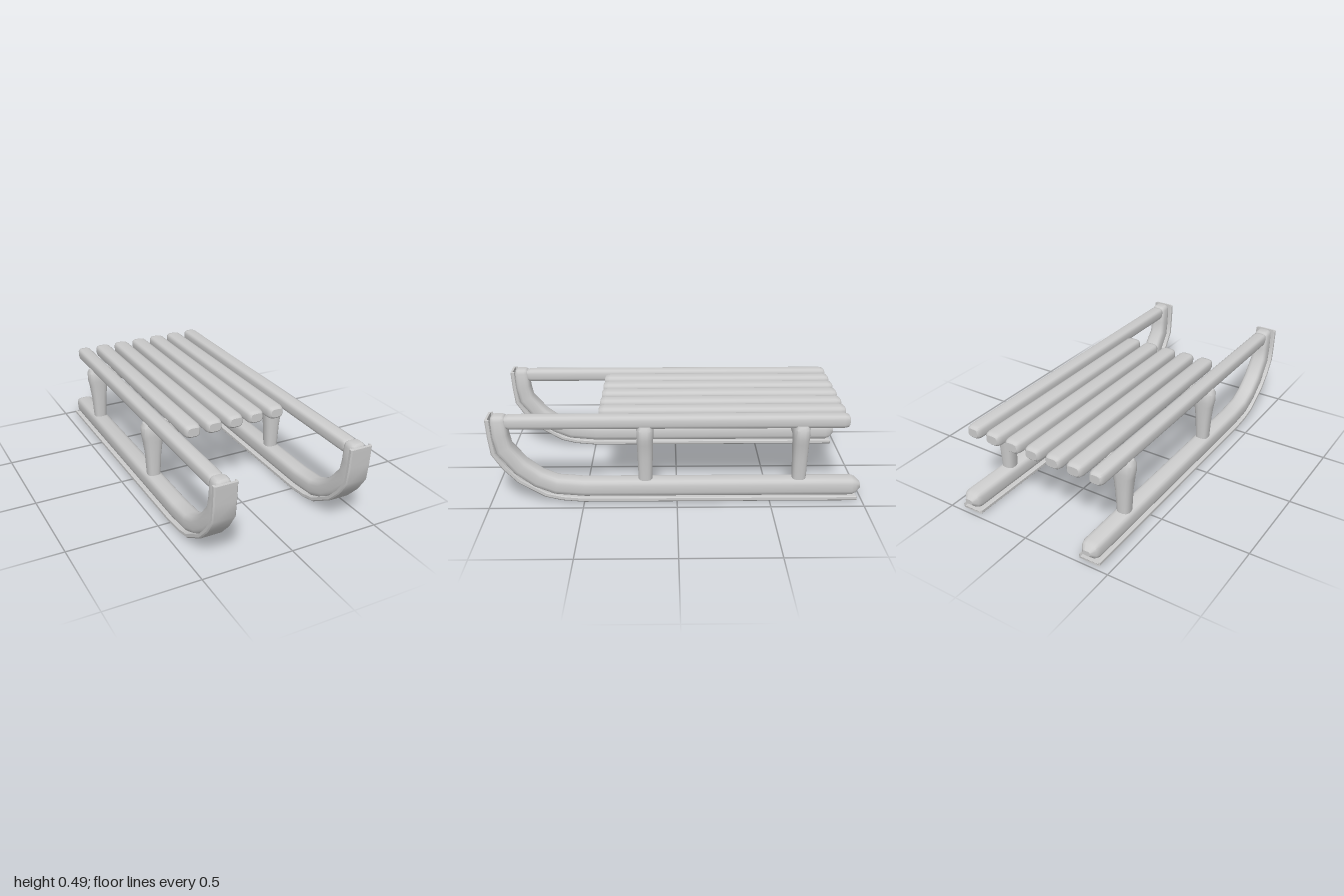
import * as THREE from 'three';
import { toCreasedNormals } from 'three/addons/utils/BufferGeometryUtils.js';

const wood = new THREE.MeshStandardMaterial({ color: 0xcccccc });
const X = new THREE.Vector3(1, 0, 0);
const Z = new THREE.Vector3(0, 0, 1);

// Rounded-rectangle unit section
function roundSection(n = 16, power = 0.55) {
  const pts = [];
  for (let i = 0; i < n; i++) {
    const a = ((i + 0.5) / n) * Math.PI * 2;
    const f = (c) => Math.sign(c) * Math.abs(c) ** power;
    pts.push([f(Math.cos(a)), f(Math.sin(a))]);
  }
  return pts;
}

// Sweeps a section along stations [x, y, z, halfU, halfV]; u is fixed, v follows the path.
// bow(station, u) slides points along the path to shape the ends.
function sweep(stations, u, section, crease = 0.7, bow = () => 0) {
  const centres = stations.map((s) => new THREE.Vector3(s[0], s[1], s[2]));
  const last = stations.length - 1;
  const n = section.length;
  const pos = [];
  const index = [];
  stations.forEach((s, i) => {
    const t = centres[Math.min(i + 1, last)].clone().sub(centres[Math.max(i - 1, 0)]).normalize();
    const v = t.clone().cross(u);
    for (const [a, b] of section) {
      const p = centres[i].clone().addScaledVector(u, a * s[3])
        .addScaledVector(v, b * s[4]).addScaledVector(t, bow(i, a));
      pos.push(p.x, p.y, p.z);
    }
  });
  for (let i = 0; i < last; i++) {
    for (let j = 0; j < n; j++) {
      const k = (j + 1) % n;
      const a = i * n + j, b = i * n + k, c = a + n, d = b + n;
      index.push(a, b, d, a, d, c);
    }
  }
  // End caps
  const flat = THREE.ShapeUtils.triangulateShape(section.map((p) => new THREE.Vector2(...p)), []);
  for (const [a, b, c] of flat) {
    index.push(a, c, b, a + last * n, b + last * n, c + last * n);
  }
  const geo = new THREE.BufferGeometry();
  geo.setAttribute('position', new THREE.Float32BufferAttribute(pos, 3));
  geo.setIndex(index);
  return toCreasedNormals(geo, crease);
}

function add(parent, name, geo) {
  const mesh = new THREE.Mesh(geo, wood);
  mesh.name = name;
  parent.add(mesh);
  return mesh;
}

// Straight slat along z with softly tapered ends
function slat(x, z0, z1, half) {
  const y = 0.451, h = 0.036;
  return sweep([
    [x, y, z0, half * 0.72, h * 0.65],
    [x, y, z0 + 0.008, half * 0.88, h * 0.88],
    [x, y, z0 + 0.03, half, h],
    [x, y, z1 - 0.03, half, h],
    [x, y, z1 - 0.008, half * 0.88, h * 0.88],
    [x, y, z1, half * 0.72, h * 0.65],
  ], X, roundSection());
}

export function createModel() {
  const group = new THREE.Group();
  group.name = 'sled';

  // Seat slats
  for (let i = -2; i <= 2; i++) add(group, 'seatSlat', slat(i * 0.125, -0.91, 0.42, 0.046));

  // Shallow channel section of the metal shoe, open towards the runner
  const channel = [
    [-1, 0.007], [-0.9, 0], [0.9, 0], [1, 0.007],
    [1, 0.022], [0.88, 0.025], [0.82, 0.013], [-0.82, 0.013], [-0.88, 0.025], [-1, 0.022],
  ];

  for (const side of [-1, 1]) {
    const x = side * 0.375;
    const half = new THREE.Group();
    half.name = side > 0 ? 'leftSide' : 'rightSide';
    group.add(half);

    add(half, 'sideRail', slat(x, -0.91, 0.91, 0.04));

    // Wooden runner, curling up at the front
    add(half, 'runner', sweep([
      [x, 0.073, -0.995, 0.022, 0.014],
      [x, 0.073, -0.97, 0.044, 0.038],
      [x, 0.072, -0.945, 0.05, 0.048],
      [x, 0.072, 0.5, 0.05, 0.048],
      [x, 0.085, 0.65, 0.05, 0.048],
      [x, 0.125, 0.745, 0.05, 0.048],
      [x, 0.195, 0.835, 0.05, 0.048],
      [x, 0.3, 0.917, 0.048, 0.046],
      [x, 0.38, 0.932, 0.046, 0.044],
      [x, 0.465, 0.936, 0.045, 0.042],
      [x, 0.482, 0.936, 0.039, 0.037],
      [x, 0.49, 0.936, 0.028, 0.026],
    ], X, roundSection()));

    // Metal shoe under the runner, with pointed ends
    const shoe = [
      [x, 0.003, -0.995], [x, 0.003, 0.5], [x, 0.014, 0.62], [x, 0.036, 0.71],
      [x, 0.12, 0.85], [x, 0.2, 0.925], [x, 0.285, 0.98], [x, 0.38, 0.991], [x, 0.493, 0.998],
    ].map((p) => [...p, 0.063, 1]);
    const end = shoe.length - 1;
    add(half, 'runnerShoe', sweep(shoe, X, channel, 0.6, (i, a) =>
      i === 0 ? 0.024 * Math.abs(a) : i === end ? -0.012 * Math.abs(a) : 0));

    // Tapered legs
    for (const z of [0.17, -0.66]) {
      add(half, 'leg', sweep([
        [x, 0.09, z, 0.034, 0.037],
        [x, 0.24, z, 0.043, 0.041],
        [x, 0.33, z, 0.055, 0.044],
        [x, 0.36, z, 0.062, 0.045],
        [x, 0.41, z, 0.062, 0.045],
        [x, 0.43, z, 0.05, 0.036],
      ], X, roundSection(16, 0.75)));
    }
  }

  // Cross bars with a gently arched underside
  for (const z of [0.17, -0.66]) {
    add(group, 'crossBar', sweep([
      [-0.375, 0.383, z, 0.045, 0.047],
      [-0.31, 0.385, z, 0.045, 0.045],
      [0, 0.393, z, 0.045, 0.037],
      [0.31, 0.385, z, 0.045, 0.045],
      [0.375, 0.383, z, 0.045, 0.047],
    ], Z, roundSection(16, 0.75)));
  }
  return group;
}
